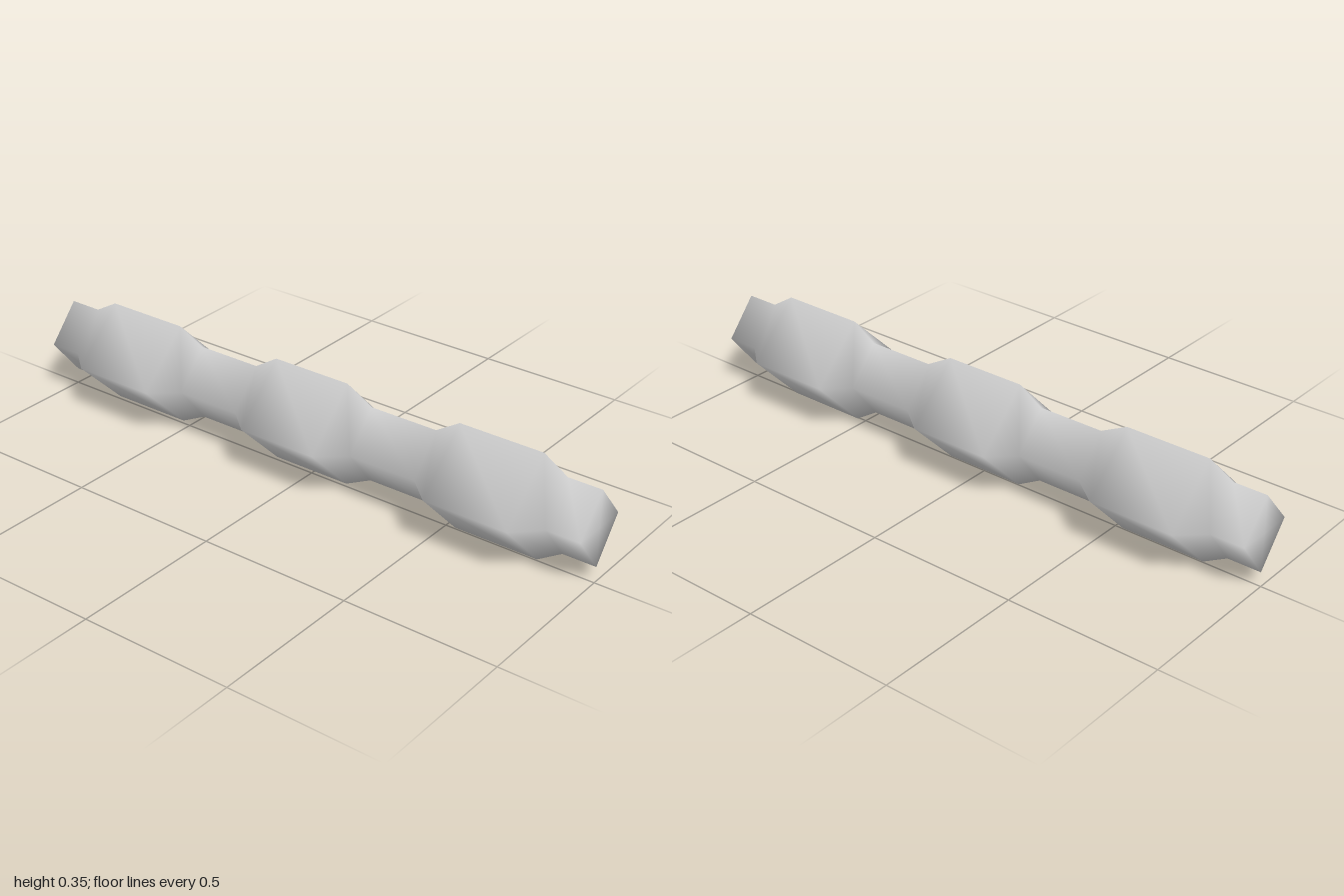
import * as THREE from 'three';

export function createModel() {
  const grey = new THREE.MeshStandardMaterial({ color: 0xcccccc });
  grey.name = 'plain grey';

  // Diamond sections: top, front, bottom, back as [y, z]
  const thin = [[0.3, -0.005], [0.18, 0.1], [0.05, -0.005], [0.18, -0.107]];
  const knot = (top, bottom, front, back) => [[top, -0.005], [0.177, front], [bottom, -0.005], [0.177, back]];
  const knots = [
    { x: [-0.89, -0.81, -0.53, -0.44], section: knot(0.345, 0.006, 0.167, -0.175) },
    { x: [-0.22, -0.14, 0.13, 0.22], section: knot(0.35, 0.006, 0.167, -0.175) },
    { x: [0.45, 0.53, 0.81, 0.89], section: knot(0.35, 0, 0.172, -0.175) },
  ];

  // Rings along the rod, from the right end to the left end
  const rings = [[-1, thin]];
  for (const { x, section } of knots) {
    rings.push([x[0], thin], [x[1], section], [x[2], section], [x[3], thin]);
  }
  rings.push([1, thin]);

  const positions = [];
  for (const [x, section] of rings) {
    for (const [y, z] of section) positions.push(x, y, z);
  }

  // Sides
  const index = [];
  for (let i = 0; i < rings.length - 1; i++) {
    for (let j = 0; j < 4; j++) {
      const a = i * 4 + j, b = i * 4 + (j + 1) % 4;
      index.push(a, b, b + 4, a, b + 4, a + 4);
    }
  }

  // End caps share their corners with the sides, so the shading stays smooth
  const last = (rings.length - 1) * 4;
  const centre = positions.length / 3;
  positions.push(-1, 0.177, -0.004, 1, 0.177, -0.004);
  for (let j = 0; j < 4; j++) {
    const k = (j + 1) % 4;
    index.push(centre, k, j, centre + 1, last + j, last + k);
  }

  const geometry = new THREE.BufferGeometry();
  geometry.setAttribute('position', new THREE.Float32BufferAttribute(positions, 3));
  geometry.setIndex(index);
  geometry.computeVertexNormals();

  const rod = new THREE.Mesh(geometry, grey);
  rod.name = 'knottedRod';
  const group = new THREE.Group();
  group.name = 'rod';
  group.add(rod);
  return group;
}
